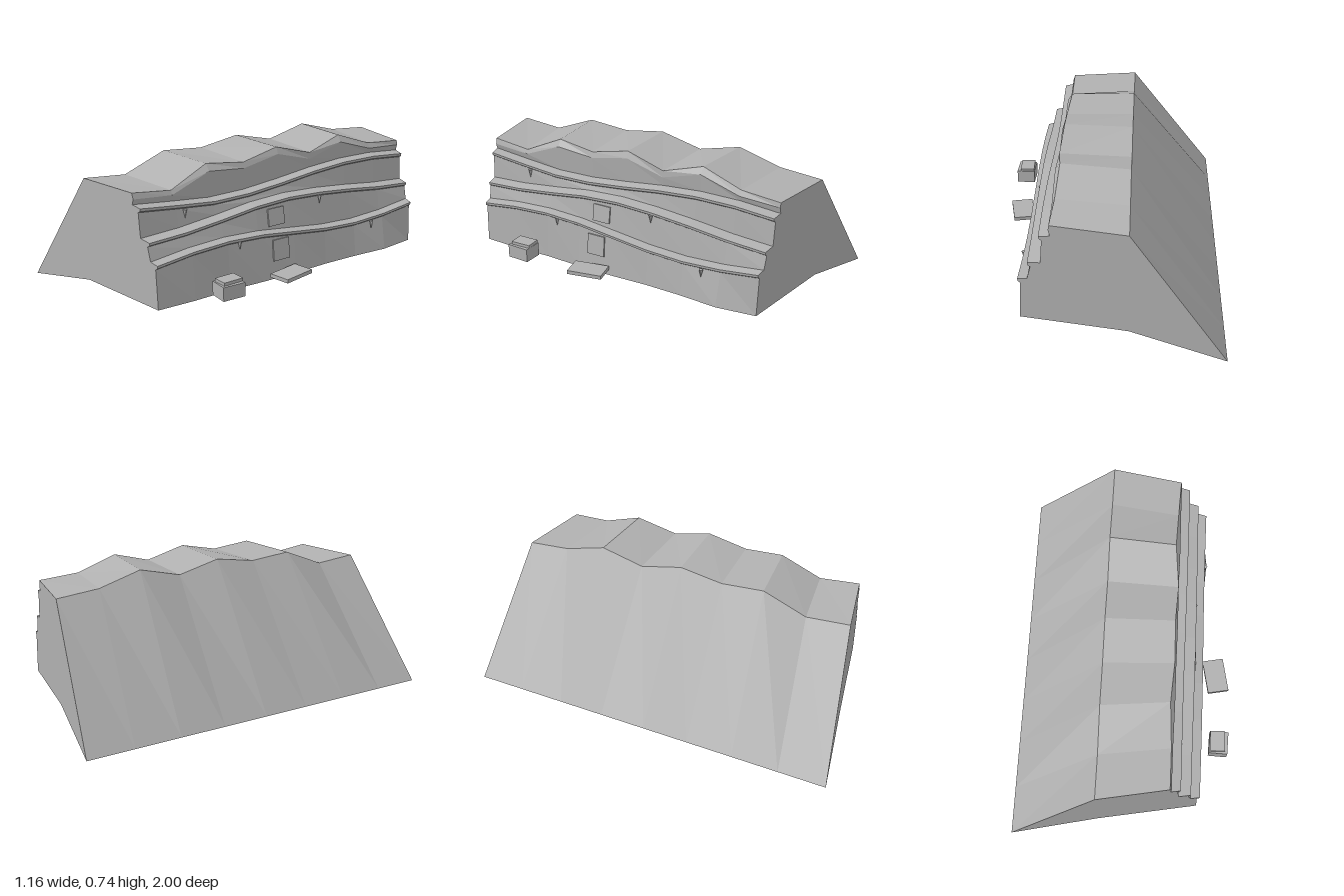
import * as THREE from 'three';

export function createModel() {
  const model = new THREE.Group();
  model.name = 'rockCliff';
  const stone = new THREE.MeshStandardMaterial({ color: 0xb0b0b0, flatShading: true, side: THREE.DoubleSide });
  stone.name = 'stone grey';

  const add = (geometry, name, x = 0, y = 0, z = 0, turn = 0) => {
    const mesh = new THREE.Mesh(geometry, stone);
    mesh.name = name;
    mesh.position.set(x, y, z);
    mesh.rotation.y = turn;
    model.add(mesh);
    return mesh;
  };

  // Heights at nine stations, from +z to -z
  const back = [0.64, 0.62, 0.71, 0.69, 0.725, 0.67, 0.725, 0.66, 0.64];
  const crest = [0.645, 0.62, 0.715, 0.69, 0.735, 0.675, 0.735, 0.66, 0.645];
  const rim = [0.615, 0.597, 0.68, 0.66, 0.7, 0.64, 0.7, 0.632, 0.62];
  const upper = [0.58, 0.557, 0.537, 0.54, 0.56, 0.585, 0.6, 0.598, 0.58];
  const middle = [0.425, 0.435, 0.458, 0.485, 0.495, 0.485, 0.465, 0.44, 0.425];
  const lower = [0.325, 0.35, 0.36, 0.35, 0.325, 0.3, 0.29, 0.3, 0.325];
  // Small in and out movement of the rock face
  const crestX = [0.255, 0.255, 0.24, 0.255, 0.25, 0.262, 0.24, 0.25, 0.26];
  const footX = [0.418, 0.425, 0.42, 0.43, 0.432, 0.425, 0.43, 0.445, 0.42];

  // The cliff narrows from its back toe to its face
  const halfWidth = (x) => 1 - 0.18 * (x + 0.58);

  // One ledge: sloping tread, thin lip and undercut
  const ledge = (inner, outer, y) => [
    [inner, y + 0.008], [outer, y], [outer - 0.002, y - 0.014], [outer - 0.014, y - 0.022],
  ];
  const section = (i) => [
    [-0.58, 0], [-0.11, back[i]], [crestX[i], crest[i]], [0.264, rim[i]],
    ...ledge(0.256, 0.311, upper[i]),
    ...ledge(0.307, 0.37, middle[i]),
    ...ledge(0.374, 0.422, lower[i]),
    [footX[i], 0.1],
  ];

  // Loft the back slope, top and stepped face, open underneath
  const stations = crest.map((_, i) =>
    section(i).map(([x, y]) => new THREE.Vector3(x, y, halfWidth(x) * (1 - i / 4))));
  const points = [];
  for (let i = 0; i < stations.length - 1; i++) {
    for (let k = 0; k < stations[i].length - 1; k++) {
      const a = stations[i][k], b = stations[i][k + 1];
      const c = stations[i + 1][k + 1], d = stations[i + 1][k];
      points.push(a, b, c, a, c, d);
    }
  }
  const shell = new THREE.BufferGeometry().setFromPoints(points);
  shell.computeVertexNormals();
  add(shell, 'cliffShell');

  // End walls, following the taper
  for (const side of [1, -1]) {
    const outline = [...section(side > 0 ? 0 : 8), [-0.11, 0.1]];
    const end = new THREE.ShapeGeometry(new THREE.Shape(outline.map(([x, y]) => new THREE.Vector2(x, y))));
    const pos = end.attributes.position;
    for (let i = 0; i < pos.count; i++) pos.setZ(i, side * halfWidth(pos.getX(i)));
    if (side < 0) end.index.array.reverse();
    end.computeVertexNormals();
    add(end, side > 0 ? 'frontEndWall' : 'backEndWall');
  }

  // Thin worn chute on the lower and middle walls
  const chute = (name, x, y, height, z, lean) => {
    const mesh = add(new THREE.BoxGeometry(0.008, height, 0.1), name, x, y, z);
    mesh.rotation.z = lean;
  };
  chute('middleChute', 0.37, 0.41, 0.09, 0.09, 0.15);
  chute('lowerChute', 0.422, 0.25, 0.11, 0.095, 0.1);

  // Small pointed rock spurs hanging on the face
  const spurs = [[0.303, 0.505, 0.59], [0.413, 0.32, 0.345], [0.365, 0.445, -0.2], [0.427, 0.255, -0.52]];
  for (const [x, y, z] of spurs) {
    const spur = new THREE.ConeGeometry(0.012, 0.045, 4);
    spur.rotateX(Math.PI);
    add(spur, 'rockSpur', x, y, z);
  }

  // Loose slab, crate and lid in front of the face
  add(new THREE.BoxGeometry(0.115, 0.02, 0.187), 'slab', 0.506, 0.143, 0.093, 0.19);
  add(new THREE.BoxGeometry(0.1, 0.072, 0.122), 'crate', 0.526, 0.167, 0.49, -0.04);
  add(new THREE.BoxGeometry(0.078, 0.016, 0.11), 'crateLid', 0.52, 0.211, 0.486, 0.03);

  return model;
}
